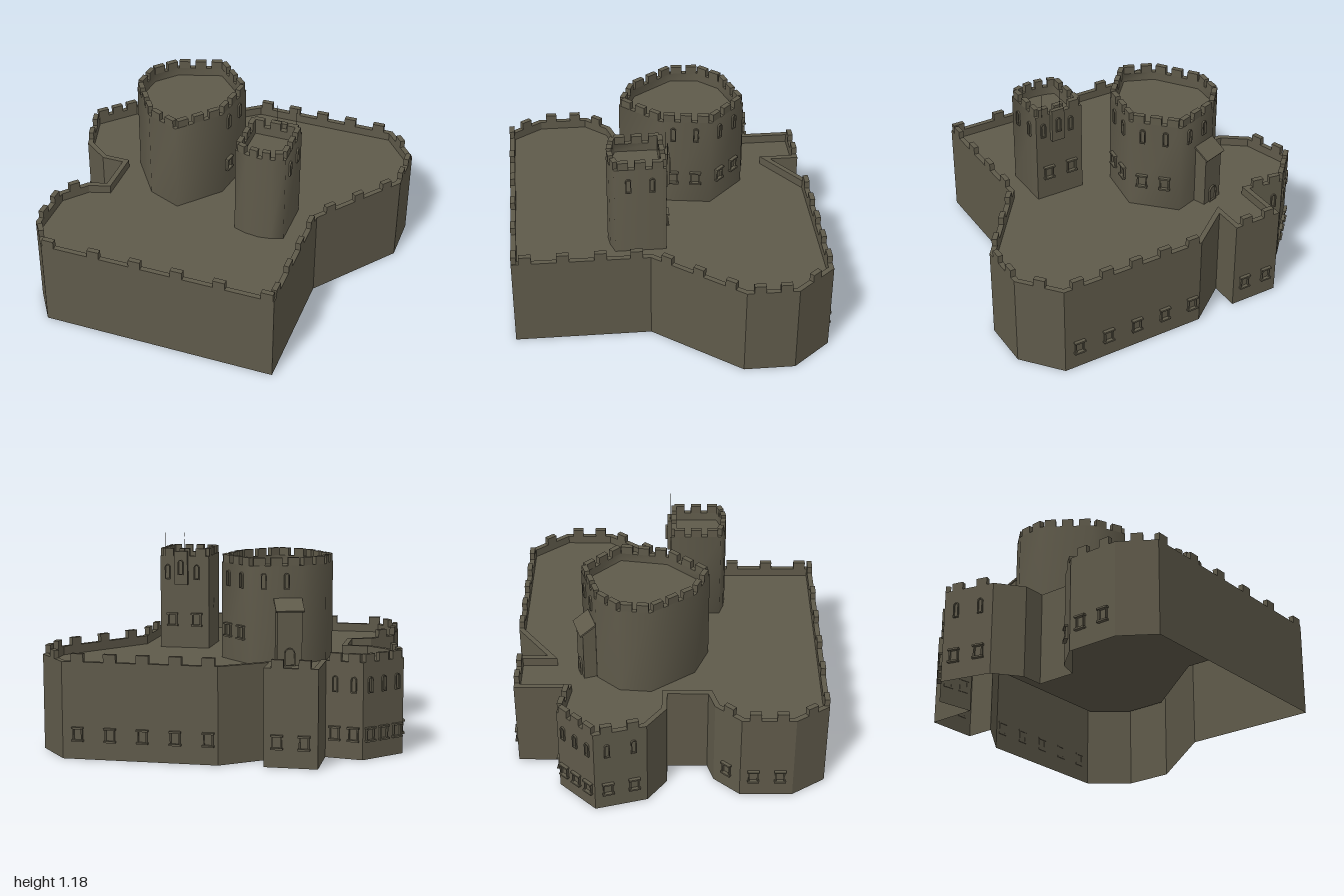
import * as THREE from 'three';
import { toCreasedNormals } from 'three/addons/utils/BufferGeometryUtils.js';

const stone = new THREE.MeshStandardMaterial({ color: 0x5f5a4a, side: THREE.DoubleSide });
stone.name = 'stone';

const T = 0.03; // parapet thickness

// Plans as [x, z] corners, going round with the outside on the left
const curtainPlan = [
  [-0.05, -0.88], [0.82, -0.88], [1, -0.66], [1, -0.37], [0.63, 0.12], [0.63, 0.9], [-0.75, 0.9],
  [-0.875, 0.71], [-0.875, 0.41], [-0.75, 0.265], [-0.64, 0.23], [-0.64, 0], [-0.77, 0],
  [-0.92, -0.11], [-1, -0.4], [-0.8, -0.61], [-0.59, -0.575], [-0.59, -0.865],
  [-0.295, -0.865], [-0.295, -0.695],
];
const keepPlan = [
  [-0.43, -0.4], [-0.155, -0.49], [0.053, -0.28], [0.01, 0.01], [-0.19, 0.237],
  [-0.385, 0.157], [-0.56, -0.09], [-0.545, -0.27],
];
const turretPlan = [
  [0.195, 0.02], [0.49, 0.02], [0.49, 0.31], [0.42, 0.335], [0.35, 0.345], [0.27, 0.335], [0.195, 0.31],
];

function add(parent, name, geometry, x = 0, y = 0, z = 0) {
  const mesh = new THREE.Mesh(geometry, stone);
  mesh.name = name;
  mesh.position.set(x, y, z);
  parent.add(mesh);
  return mesh;
}

// Mitred inward offset of a plan
function inset(plan, d) {
  const n = plan.length;
  const inward = (a, b) => {
    const dx = b[0] - a[0], dz = b[1] - a[1], l = Math.hypot(dx, dz);
    return [-dz / l, dx / l];
  };
  return plan.map((p, i) => {
    const u = inward(plan[(i + n - 1) % n], p), v = inward(p, plan[(i + 1) % n]);
    const k = d / (1 + u[0] * v[0] + u[1] * v[1]);
    return [p[0] + (u[0] + v[0]) * k, p[1] + (u[1] + v[1]) * k];
  });
}

// Upright skin following a plan
function skin(plan, y0, y1, inside, crease) {
  const n = plan.length, pos = [], idx = [];
  for (const [x, z] of plan) pos.push(x, y0, z, x, y1, z);
  for (let i = 0; i < n; i++) {
    const a = 2 * i, b = 2 * ((i + 1) % n);
    if (inside) idx.push(a, b, b + 1, a, b + 1, a + 1);
    else idx.push(b, a, a + 1, b, a + 1, b + 1);
  }
  const g = new THREE.BufferGeometry();
  g.setAttribute('position', new THREE.Float32BufferAttribute(pos, 3));
  g.setIndex(idx);
  return toCreasedNormals(g, crease);
}

// Level surface over a plan, with an optional hole
function level(plan, y, hole) {
  const flat = (p) => p.map(([x, z]) => new THREE.Vector2(x, -z));
  const shape = new THREE.Shape(flat(plan));
  if (hole) shape.holes.push(new THREE.Path(flat(hole)));
  return new THREE.ShapeGeometry(shape).rotateX(-Math.PI / 2).translate(0, y, 0);
}

// Outer wall, parapet and roof deck of one building
function building(parent, name, plan, y0, deck, top, crease) {
  const g = new THREE.Group();
  g.name = name;
  parent.add(g);
  const inner = inset(plan, T);
  add(g, 'outerWall', skin(plan, y0, top, false, crease));
  add(g, 'parapetInside', skin(inner, deck, top, true, crease));
  add(g, 'parapetTop', level(plan, top, inner));
  add(g, 'roofDeck', level(inner, deck));
  return g;
}

// Group on a plan edge at fraction t: x runs along the wall, z points outward
function onEdge(parent, name, plan, edge, t, y) {
  const a = plan[edge], b = plan[(edge + 1) % plan.length];
  const g = new THREE.Group();
  g.name = name;
  g.position.set(a[0] + (b[0] - a[0]) * t, y, a[1] + (b[1] - a[1]) * t);
  g.rotation.y = Math.atan2(b[1] - a[1], a[0] - b[0]);
  parent.add(g);
  return g;
}

function merlons(parent, plan, edge, ts, y, w) {
  for (const t of ts) {
    const g = onEdge(parent, 'merlon', plan, edge, t, y);
    add(g, 'merlonBlock', new THREE.BoxGeometry(w, 0.045, T), 0, 0.0225, -T / 2);
  }
}

const spread = (n) => Array.from({ length: n }, (_, i) => (i + 0.5) / n);

// Framed square window
function squareWindow(parent, plan, edge, t, y) {
  const g = onEdge(parent, 'squareWindow', plan, edge, t, y);
  for (const s of [-1, 1]) add(g, 'jamb', new THREE.BoxGeometry(0.008, 0.08, 0.014), s * 0.024, 0.04, 0.005);
  add(g, 'sill', new THREE.BoxGeometry(0.066, 0.01, 0.024), 0, 0.005, 0.008);
  add(g, 'lintel', new THREE.BoxGeometry(0.066, 0.01, 0.024), 0, 0.075, 0.008);
}

// Framed opening with a round head
function archShape(Type, w, h, y0) {
  const s = new Type();
  s.moveTo(-w, y0);
  s.lineTo(w, y0);
  s.lineTo(w, h - w);
  s.absarc(0, h - w, w, 0, Math.PI, false);
  s.lineTo(-w, y0);
  return s;
}
function archedFrame(parent, w, h, x = 0, y = 0, z = 0) {
  const shape = archShape(THREE.Shape, w, h, 0);
  shape.holes.push(archShape(THREE.Path, w - 0.006, h - 0.006, 0.006));
  add(parent, 'archedFrame', new THREE.ExtrudeGeometry(shape, { depth: 0.01, bevelEnabled: false, curveSegments: 6 }), x, y, z);
}
function archedWindow(parent, plan, edge, t, y) {
  archedFrame(onEdge(parent, 'archedWindow', plan, edge, t, y), 0.016, 0.09);
}

export function createModel() {
  const model = new THREE.Group();
  model.name = 'castle';

  // Main ward, hollow underneath
  const ward = building(model, 'ward', curtainPlan, 0, 0.49, 0.54, 0.01);
  const backWindows = [0.06, 0.27, 0.48, 0.69, 0.9];
  merlons(ward, curtainPlan, 0, backWindows, 0.54, 0.07);
  merlons(ward, curtainPlan, 5, [0.03, 0.23, 0.41, 0.59, 0.77, 0.97], 0.54, 0.07);
  merlons(ward, curtainPlan, 4, [0.1, 0.36, 0.63, 0.9], 0.54, 0.07);
  const counts = { 1: 1, 2: 2, 3: 3, 6: 1, 7: 2, 8: 1, 13: 2, 14: 3, 15: 2, 17: 2 };
  for (const [edge, n] of Object.entries(counts)) merlons(ward, curtainPlan, +edge, spread(n), 0.54, 0.065);

  // Ward windows
  for (const t of backWindows) squareWindow(ward, curtainPlan, 0, t, 0.1);
  for (const [edge, n] of [[7, 2], [8, 1], [13, 2], [14, 3], [15, 2], [17, 2]]) {
    for (const t of spread(n)) {
      squareWindow(ward, curtainPlan, edge, t, 0.1);
      if (edge >= 13 && edge <= 15) archedWindow(ward, curtainPlan, edge, t, 0.37);
    }
  }

  // Large many-sided keep
  const keep = building(model, 'keep', keepPlan, 0.49, 0.99, 1.04, 1.3);
  [3, 3, 3, 3, 2, 3, 2, 2].forEach((n, i) => merlons(keep, keepPlan, i, spread(n), 1.04, 0.065));
  for (const edge of [1, 2]) {
    for (const t of [0.3, 0.75]) {
      squareWindow(keep, keepPlan, edge, t, 0.62);
      archedWindow(keep, keepPlan, edge, t, 0.91);
    }
  }
  for (const t of [0.3, 0.75]) archedWindow(keep, keepPlan, 0, t, 0.91);

  // Porch against the back of the keep
  const porch = onEdge(model, 'porch', keepPlan, 0, 0.28, 0);
  const side = new THREE.Shape([[0, 0.49], [-0.075, 0.49], [-0.075, 0.8], [0, 0.85]].map(([x, y]) => new THREE.Vector2(x, y)));
  add(porch, 'porchBody', new THREE.ExtrudeGeometry(side, { depth: 0.14, bevelEnabled: false }).rotateY(Math.PI / 2), -0.07);
  const roof = add(porch, 'porchRoof', new THREE.BoxGeometry(0.16, 0.01, 0.11), 0, 0.825, 0.045);
  roof.rotation.x = Math.atan2(0.05, 0.075);
  archedFrame(porch, 0.03, 0.1, 0, 0.49, 0.075);

  // Small round-fronted turret
  const turret = building(model, 'turret', turretPlan, 0.49, 0.99, 1.04, 1.3);
  [3, 3, 1, 1, 1, 1, 3].forEach((n, i) => merlons(turret, turretPlan, i, spread(n), 1.04, n > 1 ? 0.06 : 0.045));
  for (const t of [0.27, 0.73]) archedWindow(turret, turretPlan, 1, t, 0.89);
  for (const t of [0.25, 0.75]) squareWindow(turret, turretPlan, 0, t, 0.62);
  for (const t of [0.25, 0.85]) archedWindow(turret, turretPlan, 0, t, 0.9);

  // Projecting bay and poles on the back of the turret
  const bay = onEdge(turret, 'bay', turretPlan, 0, 0.56, 0.85);
  add(bay, 'bayBox', new THREE.BoxGeometry(0.08, 0.2, 0.025), 0, 0.12, 0.0125);
  archedFrame(bay, 0.016, 0.09, 0, 0.08, 0.025);
  for (const x of [0.34, 0.455]) add(turret, 'pole', new THREE.CylinderGeometry(0.0015, 0.0015, 0.14, 6), x, 1.11, 0.012);

  return model;
}
